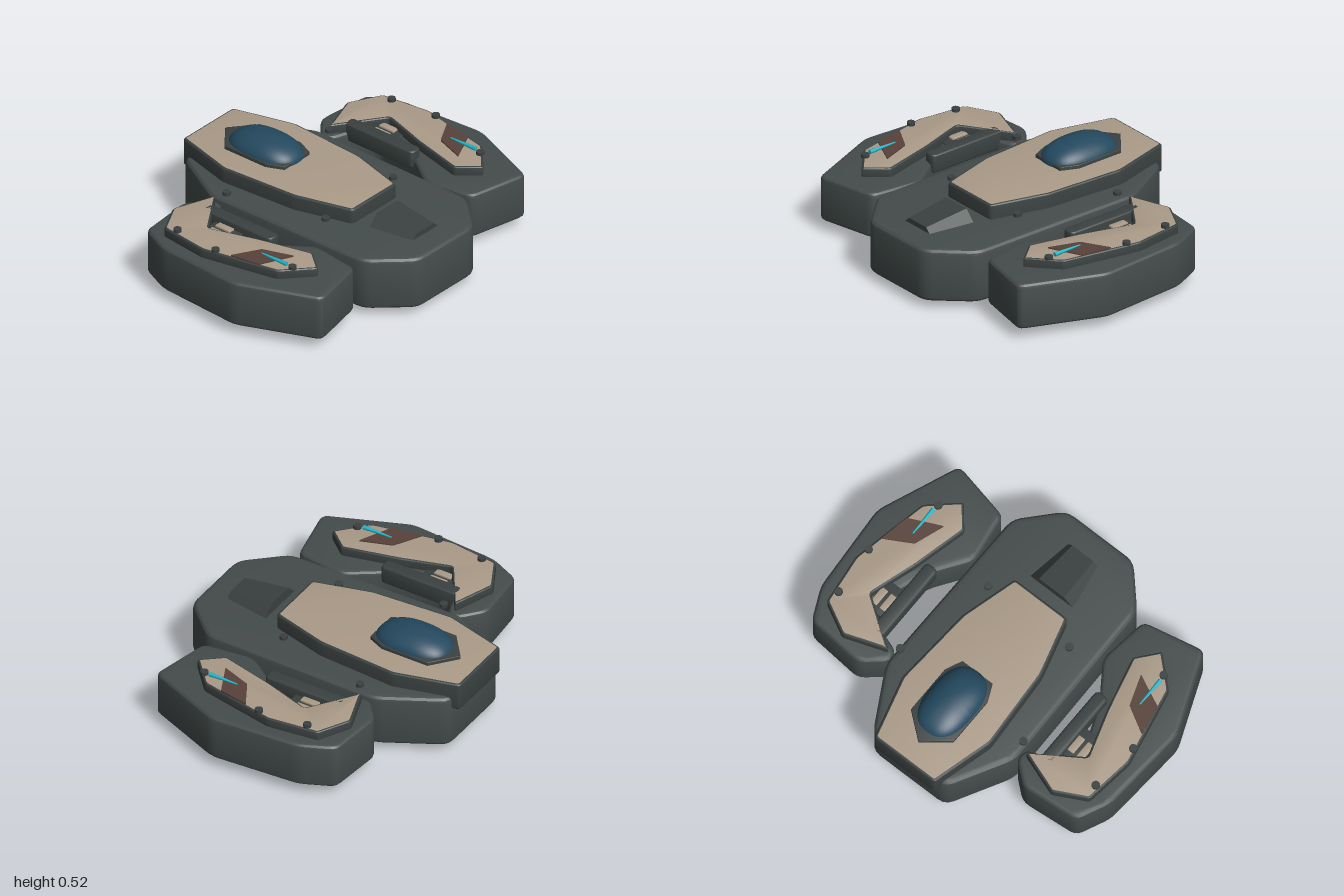
import * as THREE from 'three';
import { toCreasedNormals } from 'three/addons/utils/BufferGeometryUtils.js';

const paint = (name, color) => {
  const m = new THREE.MeshStandardMaterial({ color });
  m.name = name;
  return m;
};

// Closed outline of [x, z] points with slightly rounded corners
function outline(points, radius) {
  const pts = points.map(([x, z]) => new THREE.Vector2(x, z));
  const shape = new THREE.Shape();
  pts.forEach((p, i) => {
    const prev = pts[(i + pts.length - 1) % pts.length];
    const next = pts[(i + 1) % pts.length];
    const cut = (q) => p.clone().lerp(q, Math.min(0.4, radius / p.distanceTo(q)));
    const a = cut(prev), b = cut(next);
    if (i === 0) shape.moveTo(a.x, a.y);
    else shape.lineTo(a.x, a.y);
    shape.quadraticCurveTo(p.x, p.y, b.x, b.y);
  });
  shape.closePath();
  return shape;
}

// Bevelled slab standing between heights y0 and y1
function slab(name, points, y0, y1, bevel, material, radius = 0.03) {
  let geo = new THREE.ExtrudeGeometry(outline(points, radius), {
    depth: y1 - y0 - 2 * bevel, bevelEnabled: bevel > 0, bevelThickness: bevel,
    bevelSize: bevel, bevelOffset: -bevel, bevelSegments: 3, curveSegments: 3,
  });
  geo.rotateX(Math.PI / 2);
  geo.translate(0, y1 - bevel, 0);
  geo = toCreasedNormals(geo, 0.5);
  const mesh = new THREE.Mesh(geo, material);
  mesh.name = name;
  return mesh;
}

const mirrored = (half) => [...half, ...half.map(([x, z]) => [-x, z]).reverse()];
const rect = (x0, x1, z0, z1) => [[x0, z0], [x1, z0], [x1, z1], [x0, z1]];

export function createModel() {
  const model = new THREE.Group();
  const dark = paint('hull grey', 0x444c4b);
  const trim = paint('trim grey', 0x3a4140);
  const beige = paint('armour beige', 0xab9b88);
  const glass = paint('canopy blue', 0x24495f);
  const brown = paint('panel brown', 0x584239);
  const cyan = paint('light cyan', 0x20b8cc);

  const add = (parent, name, geo, mat, x, y, z) => {
    const mesh = new THREE.Mesh(geo, mat);
    mesh.name = name;
    mesh.position.set(x, y, z);
    parent.add(mesh);
    return mesh;
  };

  // Central hull and raised armour deck
  model.add(slab('hull', mirrored([[0.24, -0.775], [0.43, -0.43], [0.418, 0.6], [0.22, 0.815]]),
    0.045, 0.347, 0.03, dark, 0.05));
  model.add(slab('armourDeck', mirrored([[0.2, -0.815], [0.295, -0.46], [0.265, 0], [0.175, 0.325]]),
    0.27, 0.43, 0.014, [beige, trim], 0.02));

  // Canopy frame and glass dome
  model.add(slab('canopyFrame',
    [[0, -0.695], [0.142, -0.58], [0.142, -0.3], [0.1, -0.205], [-0.1, -0.205], [-0.142, -0.3], [-0.142, -0.58]],
    0.41, 0.45, 0.004, trim, 0.004));
  const dome = new THREE.SphereGeometry(1, 40, 16, 0, Math.PI * 2, 0, Math.PI / 2);
  const p = dome.attributes.position;
  for (let i = 0; i < p.count; i++) {
    const x = p.getX(i), z = p.getZ(i), r = Math.hypot(x, z) || 1;
    const square = (v) => r * Math.sign(v) * Math.pow(Math.abs(v / r), 0.82);
    p.setXYZ(i, square(x) * 0.14, p.getY(i) * 0.095, square(z) * 0.217);
  }
  dome.computeVertexNormals();
  add(model, 'canopy', dome, glass, 0, 0.43, -0.415);

  // Tapered eight-sided core showing through the hull above and below
  const core = new THREE.CylinderGeometry(0.184, 0.2165, 0.26, 8).toNonIndexed();
  core.rotateY(Math.PI / 8);
  core.rotateX(Math.PI / 2);
  core.computeVertexNormals();
  add(model, 'noseCore', core, trim, 0, 0.205, 0.54);

  const stud = new THREE.CylinderGeometry(0.022, 0.022, 0.018, 12);
  const beacon = new THREE.CylinderGeometry(0.012, 0.004, 0.17, 8);
  beacon.rotateX(Math.PI / 2);

  for (const s of [1, -1]) {
    const pod = new THREE.Group();
    pod.name = s > 0 ? 'leftPod' : 'rightPod';
    model.add(pod);
    const flip = (pts) => pts.map(([x, z]) => [s * x, z]);

    // Curved side pod with a notch on its inner side
    pod.add(slab('podBody', flip([[0.55, -0.515], [0.88, -0.485], [0.965, -0.3], [1.0, 0.21],
      [0.815, 0.665], [0.465, 0.59], [0.428, 0.3], [0.56, 0.11], [0.63, -0.06], [0.66, -0.2],
      [0.58, -0.29], [0.435, -0.34], [0.425, -0.41]]), 0.065, 0.325, 0.025, dark, 0.04));

    // Armour plate following the pod
    pod.add(slab('podArmour', flip([[0.455, -0.375], [0.695, -0.46], [0.875, -0.365], [0.91, -0.08],
      [0.87, 0.12], [0.82, 0.36], [0.66, 0.505], [0.56, 0.385], [0.635, 0.08], [0.72, -0.19]]),
      0.3, 0.375, 0.012, [beige, trim], 0.015));

    // Painted panel and its light
    pod.add(slab('panel', flip([[0.865, 0.08], [0.715, 0.165], [0.655, 0.335], [0.835, 0.25]]),
      0.374, 0.382, 0, brown, 0.004));
    add(pod, 'light', beacon, cyan, s * 0.755, 0.39, 0.285);

    // Inner boom with its bracket
    pod.add(slab('boom', flip(rect(0.527, 0.605, -0.345, 0.13)), 0.27, 0.375, 0.015, trim, 0.03));
    pod.add(slab('bracket', flip(rect(0.595, 0.71, -0.25, -0.06)), 0.27, 0.335, 0.008, trim, 0.008));
    for (const x of [0.625, 0.685]) {
      pod.add(slab('bracketPad', flip(rect(x - 0.02, x + 0.02, -0.215, -0.115)), 0.32, 0.345, 0.004, beige, 0.005));
    }

    // Round studs
    for (const [x, z] of [[0.855, -0.29], [0.88, -0.01], [0.75, 0.405], [0.41, -0.335], [0.27, 0.22]]) {
      add(pod, 'stud', stud, trim, s * x, 0.384, z);
    }
  }
  return model;
}
